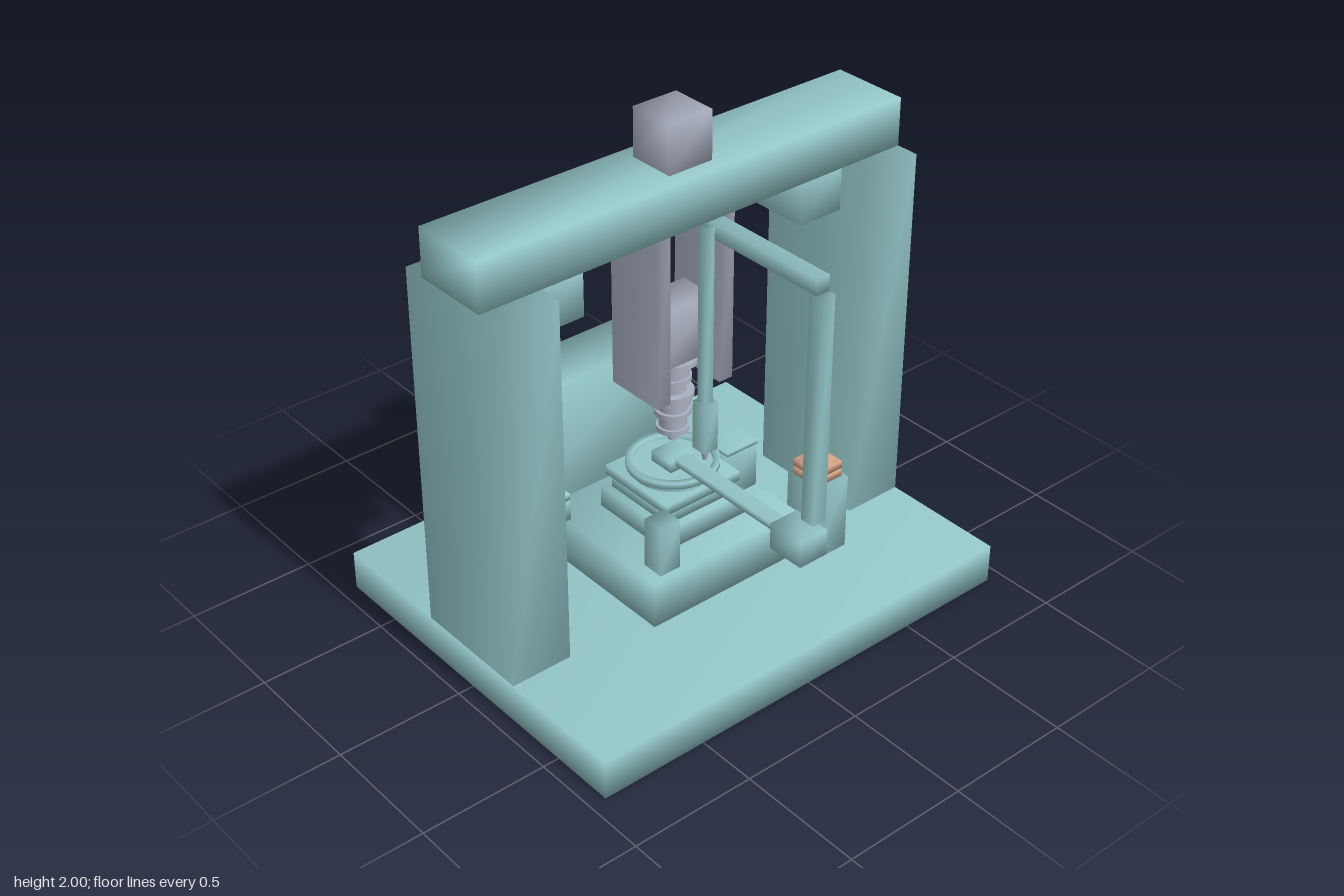
import * as THREE from 'three';
import { mergeVertices } from 'three/addons/utils/BufferGeometryUtils.js';

const material = (name, color) => {
  const m = new THREE.MeshStandardMaterial({ color });
  m.name = name;
  return m;
};

export function createModel() {
  const root = new THREE.Group();
  root.name = 'benchPress';
  const teal = material('teal frame', 0x94c6c8);
  const grey = material('grey spindle', 0xa9afbf);
  const copper = material('copper probe', 0xd2a284);

  // Box from its limits, with normals shared across the edges
  const box = (name, mat, [x0, x1], [y0, y1], [z0, z1]) => {
    let g = new THREE.BoxGeometry(x1 - x0, y1 - y0, z1 - z0);
    g.deleteAttribute('uv');
    g.deleteAttribute('normal');
    g = mergeVertices(g);
    g.computeVertexNormals();
    const mesh = new THREE.Mesh(g, mat);
    mesh.position.set((x0 + x1) / 2, (y0 + y1) / 2, (z0 + z1) / 2);
    mesh.name = name;
    root.add(mesh);
    return mesh;
  };
  // Upright cylinder between two heights
  const rod = (name, mat, x, z, r, y0, y1, rTop = r) => {
    const mesh = new THREE.Mesh(new THREE.CylinderGeometry(rTop, r, y1 - y0, 32), mat);
    mesh.position.set(x, (y0 + y1) / 2, z);
    mesh.name = name;
    root.add(mesh);
    return mesh;
  };
  // The same limits on either side of x = 0
  const pair = (name, mat, [x0, x1], y, z) => {
    box(name + 'Left', mat, [x0, x1], y, z);
    box(name + 'Right', mat, [-x1, -x0], y, z);
  };

  // Frame
  box('basePlate', teal, [-0.935, 0.935], [0, 0.16], [-0.76, 0.76]);
  pair('column', teal, [0.685, 0.935], [0.16, 1.62], [-0.25, 0.25]);
  pair('gusset', teal, [0.49, 0.685], [1.43, 1.62], [-0.125, 0.125]);
  box('crossBeam', teal, [-0.935, 0.935], [1.62, 1.81], [-0.157, 0.157]);
  box('rearCabinet', teal, [-0.475, 0.475], [0.16, 0.7], [-0.76, -0.51]);

  // Spindle drive
  box('driveMotor', grey, [-0.095, 0.095], [1.81, 2], [-0.095, 0.095]);
  pair('guideRail', grey, [0.115, 0.175], [0.925, 1.62], [-0.125, 0.125]);
  box('spindleHead', grey, [-0.115, 0.115], [1.03, 1.27], [-0.075, 0.075]);
  // Stepped tool: radius, bottom, top
  [
    [0.095, 1.01, 1.03], [0.07, 0.985, 1.01], [0.062, 0.95, 0.985], [0.07, 0.93, 0.95],
    [0.05, 0.885, 0.93], [0.08, 0.865, 0.885], [0.07, 0.835, 0.865], [0.055, 0.805, 0.835],
    [0.068, 0.785, 0.805], [0.052, 0.735, 0.785], [0.062, 0.715, 0.735], [0.035, 0.695, 0.715],
    [0.018, 0.67, 0.695],
  ].forEach(([r, y0, y1], i) => rod('toolStep' + i, grey, 0, 0, r, y0, y1));

  // Work table
  box('tableBed', teal, [-0.35, 0.345], [0.16, 0.35], [-0.32, 0.315]);
  box('lowerSlide', teal, [-0.19, 0.19], [0.35, 0.44], [-0.19, 0.19]);
  box('upperSlide', teal, [-0.16, 0.16], [0.44, 0.495], [-0.16, 0.16]);
  box('slideTop', teal, [-0.175, 0.175], [0.495, 0.535], [-0.175, 0.175]);
  rod('turntable', teal, 0, 0, 0.155, 0.535, 0.565);
  const ring = new THREE.Mesh(new THREE.LatheGeometry([
    [0.15, 0.56], [0.175, 0.56], [0.175, 0.585], [0.15, 0.585], [0.15, 0.56],
  ].map(([r, y]) => new THREE.Vector2(r, y)), 48), teal);
  ring.name = 'turntableRing';
  root.add(ring);
  box('workpiece', teal, [-0.055, 0.055], [0.565, 0.61], [-0.055, 0.055]);
  box('tableDrive', teal, [0.19, 0.345], [0.35, 0.54], [-0.08, 0.08]);
  box('tableDriveCap', teal, [0.195, 0.345], [0.54, 0.555], [-0.085, 0.085]);
  box('sidePost', teal, [-0.3, -0.21], [0.35, 0.555], [0.2, 0.29]);

  // Loading arm in front
  box('upperArm', teal, [0.035, 0.095], [1.56, 1.62], [0.12, 0.685]);
  box('dropArm', teal, [0.033, 0.093], [0.65, 1.56], [0.655, 0.715]);
  box('armBlock', teal, [-0.065, 0.06], [0.545, 0.65], [0.605, 0.76]);
  box('reachArm', teal, [-0.033, 0.03], [0.59, 0.617], [0.05, 0.605]);

  // Hanging nozzle
  box('nozzleBar', teal, [-0.02, 0.018], [0.92, 1.62], [0.16, 0.2]);
  box('nozzleBody', teal, [-0.033, 0.03], [0.72, 0.92], [0.15, 0.215]);
  rod('nozzleTip', grey, 0, 0.18, 0.008, 0.67, 0.72, 0.018);

  // Side sensor on the right column
  box('sensorBracket', teal, [-0.685, -0.51], [0.65, 0.675], [-0.045, 0.045]);
  box('sensorBody', teal, [-0.67, -0.51], [0.565, 0.65], [-0.045, 0.045]);

  // Rear probe station
  box('rearPost', teal, [-0.507, -0.385], [0.16, 0.525], [-0.38, -0.257]);
  box('rearPostCap', copper, [-0.493, -0.403], [0.525, 0.585], [-0.363, -0.272]);
  rod('rearPin', copper, -0.42, -0.29, 0.006, 0.585, 0.65);
  rod('probeNeedle', copper, -0.447, -0.317, 0.004, 0.585, 0.77);
  rod('probeBody', copper, -0.447, -0.317, 0.025, 0.77, 1.05);
  rod('probeShaft', copper, -0.447, -0.317, 0.018, 1.05, 1.62);

  // Front gauge station
  box('frontPost', teal, [0.365, 0.52], [0.16, 0.475], [0.235, 0.395]);
  box('gaugeLower', copper, [0.38, 0.505], [0.475, 0.503], [0.247, 0.375]);
  box('gaugeCore', copper, [0.39, 0.495], [0.503, 0.51], [0.257, 0.365]);
  box('gaugeUpper', copper, [0.38, 0.505], [0.51, 0.54], [0.247, 0.375]);
  for (const x of [0.395, 0.49]) for (const z of [0.262, 0.36])
    rod('gaugeScrew', copper, x, z, 0.006, 0.54, 0.543);

  return root;
}
